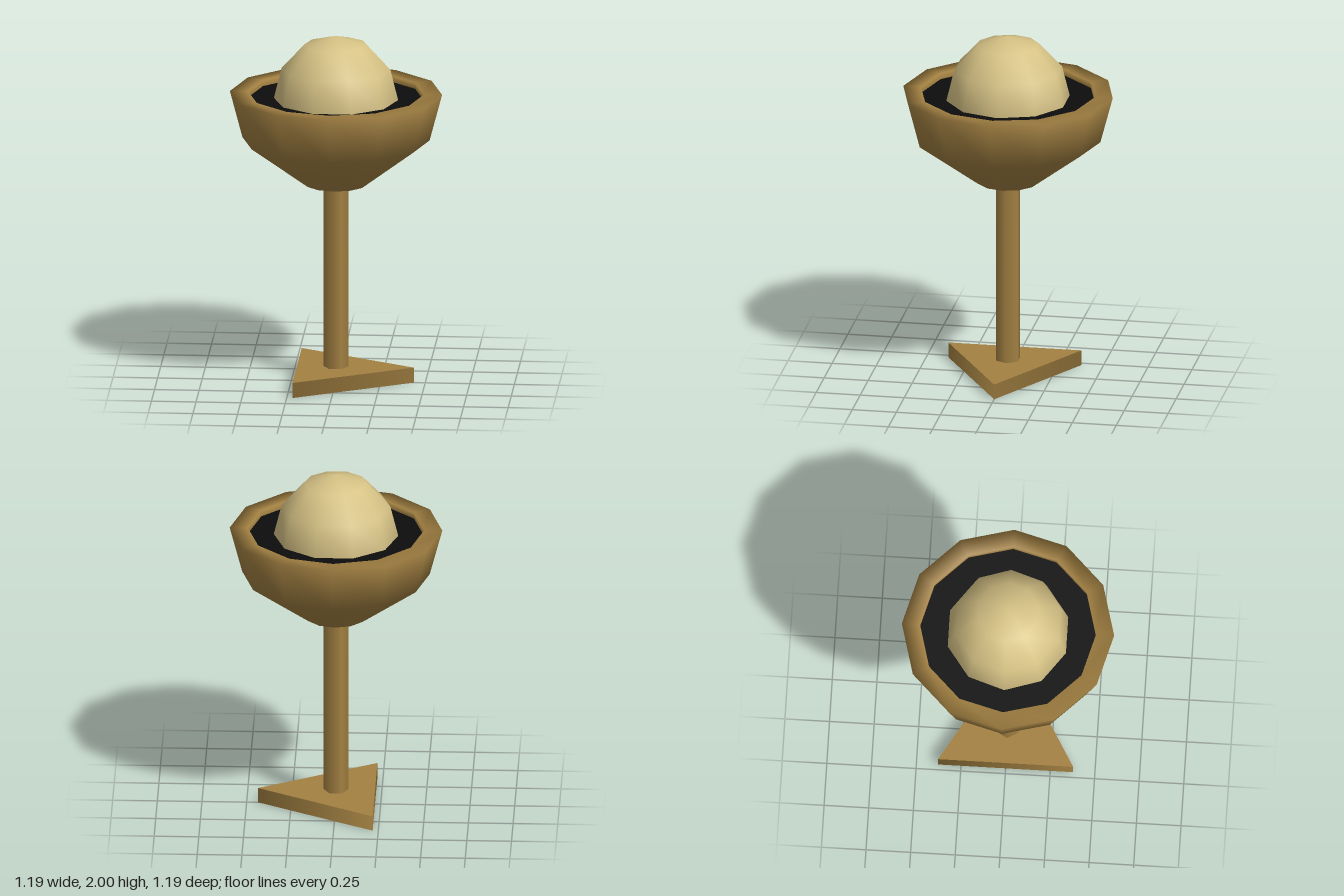
import * as THREE from 'three';

export function createModel() {
  const model = new THREE.Group();
  model.name = 'goblet';

  const material = (name, color) => {
    const m = new THREE.MeshStandardMaterial({ color });
    m.name = name;
    return m;
  };
  const bronze = material('bronze', 0xa38142);
  const cream = material('cream', 0xd6c285);
  const black = material('black', 0x0d0d0d);

  const add = (name, geometry, mat, y = 0) => {
    const mesh = new THREE.Mesh(geometry, mat);
    mesh.name = name;
    mesh.position.y = y;
    model.add(mesh);
    return mesh;
  };
  // upright prism with a corner on +x
  const prism = (radius, height, sides) =>
    new THREE.CylinderGeometry(radius, radius, height, sides, 1, false, Math.PI / 2);
  // flat polygon facing up (or down)
  const disc = (radius, sides, down = false) =>
    new THREE.CircleGeometry(radius, sides).rotateX(down ? Math.PI / 2 : -Math.PI / 2);

  // three-cornered foot and six-sided stem
  const footHeight = 0.087;
  add('foot', prism(0.437, footHeight, 3), bronze, footHeight / 2);
  const bowlBottom = 1.145;
  add('stem', prism(0.07, bowlBottom - footHeight, 6), bronze, (bowlBottom + footHeight) / 2);

  // bowl: flared outside, flat rim and short inner wall
  const profile = [
    [0.175, bowlBottom], [0.525, 1.405], [0.595, 1.67], [0.493, 1.67], [0.493, 1.635],
  ].map(([r, y]) => new THREE.Vector2(r, y));
  add('bowl', new THREE.LatheGeometry(profile, 12), bronze);
  add('bowlBottom', disc(0.175, 12, true), bronze, bowlBottom);
  add('bowlFilling', disc(0.493, 12), black, 1.635);

  // dome rising out of the bowl
  const dome = new THREE.SphereGeometry(1, 10, 3, 0, Math.PI * 2, 0, Math.PI / 2);
  dome.scale(0.352, 0.38, 0.352);
  add('dome', dome, cream, 1.62);

  return model;
}
